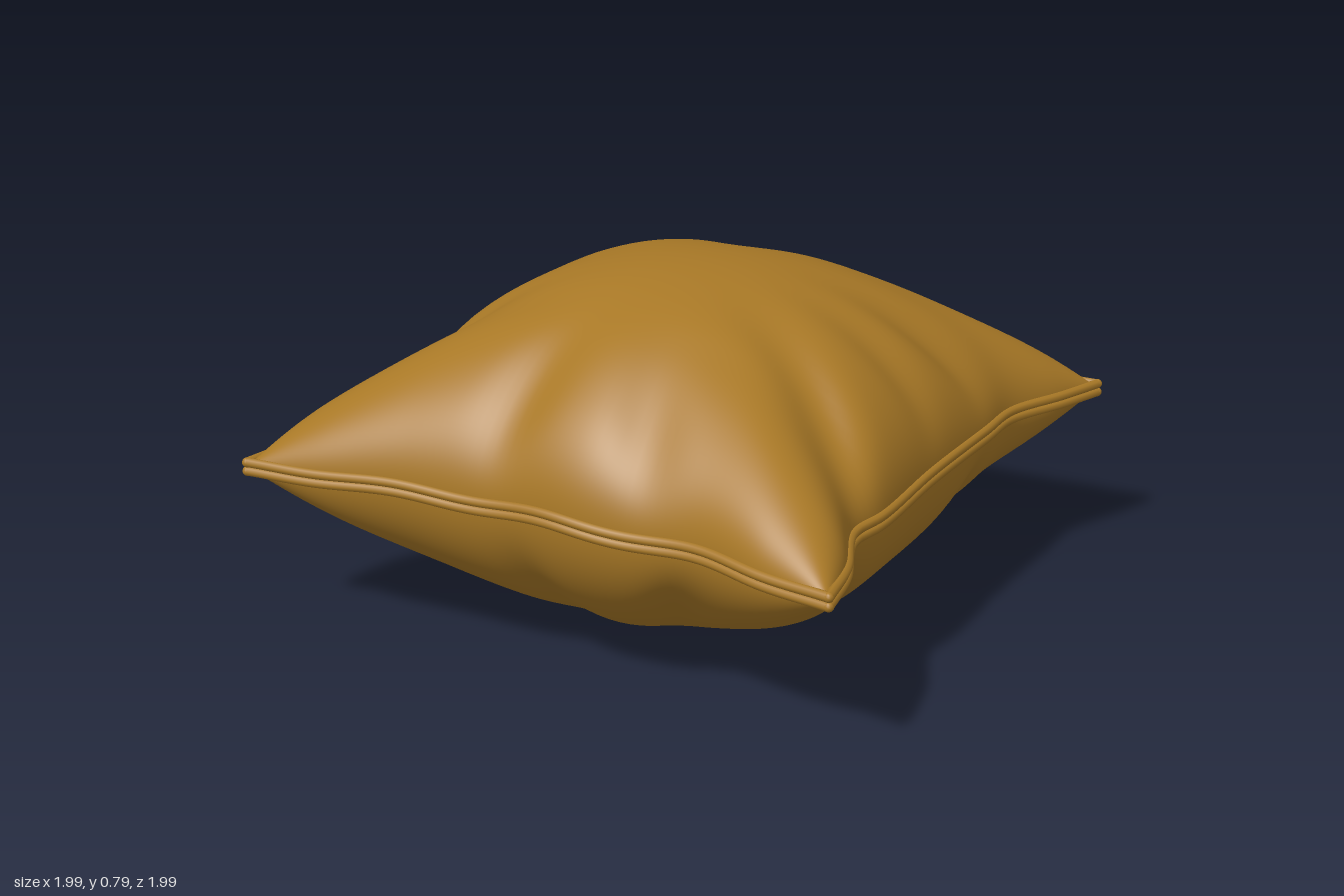
import * as THREE from 'three';

const MID = 0.395; // height of the seam
const HALF = 0.395; // rise of the cushion above and below the seam
const N = 96; // grid steps per side

const fabric = new THREE.MeshStandardMaterial({ color: 0xa87826 });
fabric.name = 'ochre fabric';
fabric.side = THREE.DoubleSide;

// Seam edges as [x, z] points, running corner to corner
const edge = (pts) => new THREE.CatmullRomCurve3(pts.map(([x, z]) => new THREE.Vector3(x, 0, z)), false, 'centripetal');
const LEFT = [0.985, 0.05], BACK = [0.02, -0.985], RIGHT = [-0.985, -0.06], FRONT = [-0.03, 0.985];
const edges = {
  rightBack: edge([RIGHT, [-0.87, -0.13], [-0.62, -0.215], [-0.52, -0.32], [-0.35, -0.46], [-0.21, -0.61], [-0.08, -0.77], [-0.05, -0.87], BACK]),
  frontLeft: edge([FRONT, [0.05, 0.87], [0.13, 0.7], [0.22, 0.63], [0.4, 0.45], [0.61, 0.26], [0.72, 0.16], [0.87, 0.1], LEFT]),
  rightFront: edge([RIGHT, [-0.87, 0.04], [-0.69, 0.18], [-0.52, 0.34], [-0.4, 0.49], [-0.22, 0.67], [-0.12, 0.85], FRONT]),
  backLeft: edge([BACK, [0.1, -0.88], [0.2, -0.71], [0.33, -0.53], [0.5, -0.36], [0.63, -0.22], [0.77, -0.11], [0.92, -0.01], LEFT]),
};

// Slight ripple of the seam, fading out at the corners
const ripple = (p, s) => 0.006 * Math.sin(9 * p.x + 13 * p.z) * Math.sin(Math.PI * s);

// Soft folds running inwards from the seam: x, z, depth, width, length
const topFolds = [
  [0.15, 0.66, 0.28, 0.07, 0.24], [0.42, 0.42, 0.12, 0.06, 0.2], [0.62, 0.25, 0.22, 0.07, 0.22],
  [-0.3, 0.6, 0.15, 0.07, 0.2], [-0.55, 0.32, 0.16, 0.07, 0.22], [0.42, -0.44, 0.15, 0.09, 0.24],
  [-0.1, -0.75, 0.18, 0.05, 0.18], [-0.6, -0.23, 0.2, 0.06, 0.2],
];
const bottomFolds = [
  [-0.24, 0.66, 0.22, 0.07, 0.24], [-0.5, 0.36, 0.12, 0.06, 0.2], [0.12, 0.7, 0.16, 0.05, 0.2],
  [0.62, 0.25, 0.24, 0.06, 0.2], [0.25, -0.63, 0.15, 0.07, 0.22], [-0.1, -0.75, 0.22, 0.06, 0.2],
  [-0.58, -0.25, 0.22, 0.06, 0.2],
];

function foldFactor(folds, x, z) {
  let f = 1;
  for (const [fx, fz, depth, width, length] of folds) {
    const r = Math.hypot(fx, fz), dx = x - fx, dz = z - fz;
    const along = (dx * fx + dz * fz) / r, across = (dx * fz - dz * fx) / r;
    f -= depth * Math.exp(-((across / width) ** 2) - (along / length) ** 2);
  }
  return f;
}

// One fabric panel: a patch blended between the four edges, puffed up or down
function panel(name, sign, folds) {
  const params = Array.from({ length: N + 1 }, (_, i) => (1 + Math.sin(Math.PI * (i / N - 0.5))) / 2);
  const sample = (c) => params.map((s) => {
    const p = c.getPointAt(s);
    p.y = ripple(p, s);
    return p;
  });
  const v0 = sample(edges.rightBack), v1 = sample(edges.frontLeft);
  const u0 = sample(edges.rightFront), u1 = sample(edges.backLeft);
  const pos = [], idx = [];
  for (let j = 0; j <= N; j++) {
    for (let i = 0; i <= N; i++) {
      const s = params[i], t = params[j];
      const p = new THREE.Vector3()
        .addScaledVector(v0[i], 1 - t).addScaledVector(v1[i], t)
        .addScaledVector(u0[j], 1 - s).addScaledVector(u1[j], s)
        .addScaledVector(v0[0], -(1 - s) * (1 - t)).addScaledVector(v0[N], -s * (1 - t))
        .addScaledVector(v1[0], -(1 - s) * t).addScaledVector(v1[N], -s * t);
      const puff = Math.pow(Math.max(0, 16 * s * (1 - s) * t * (1 - t)), 0.48);
      pos.push(p.x, MID + p.y * (1 - puff) + sign * HALF * puff * foldFactor(folds, p.x, p.z), p.z);
      if (i < N && j < N) {
        const a = j * (N + 1) + i, b = a + 1, c = a + N + 1, d = c + 1;
        if (sign > 0) idx.push(a, c, b, b, c, d);
        else idx.push(a, b, c, b, d, c);
      }
    }
  }
  const geo = new THREE.BufferGeometry();
  geo.setAttribute('position', new THREE.Float32BufferAttribute(pos, 3));
  geo.setIndex(idx);
  geo.computeVertexNormals();
  const mesh = new THREE.Mesh(geo, fabric);
  mesh.name = name;
  return mesh;
}

// Doubled piping along the seam, with rounded corner ends
function piping() {
  const group = new THREE.Group();
  group.name = 'seamPiping';
  const radius = 0.011;
  for (const offset of [-0.01, 0.01]) {
    for (const [key, c] of Object.entries(edges)) {
      const pts = Array.from({ length: 41 }, (_, i) => {
        const p = c.getPointAt(i / 40);
        p.y = MID + offset + ripple(p, i / 40);
        return p;
      });
      const tube = new THREE.Mesh(new THREE.TubeGeometry(new THREE.CatmullRomCurve3(pts), 100, radius, 8), fabric);
      tube.name = key + 'Piping';
      group.add(tube);
    }
    for (const [x, z] of [LEFT, BACK, RIGHT, FRONT]) {
      const tip = new THREE.Mesh(new THREE.SphereGeometry(radius, 12, 8), fabric);
      tip.name = 'cornerTip';
      tip.position.set(x, MID + offset, z);
      group.add(tip);
    }
  }
  return group;
}

export function createModel() {
  const cushion = new THREE.Group();
  cushion.name = 'cushion';
  cushion.add(panel('topPanel', 1, topFolds), panel('bottomPanel', -1, bottomFolds), piping());
  return cushion;
}
